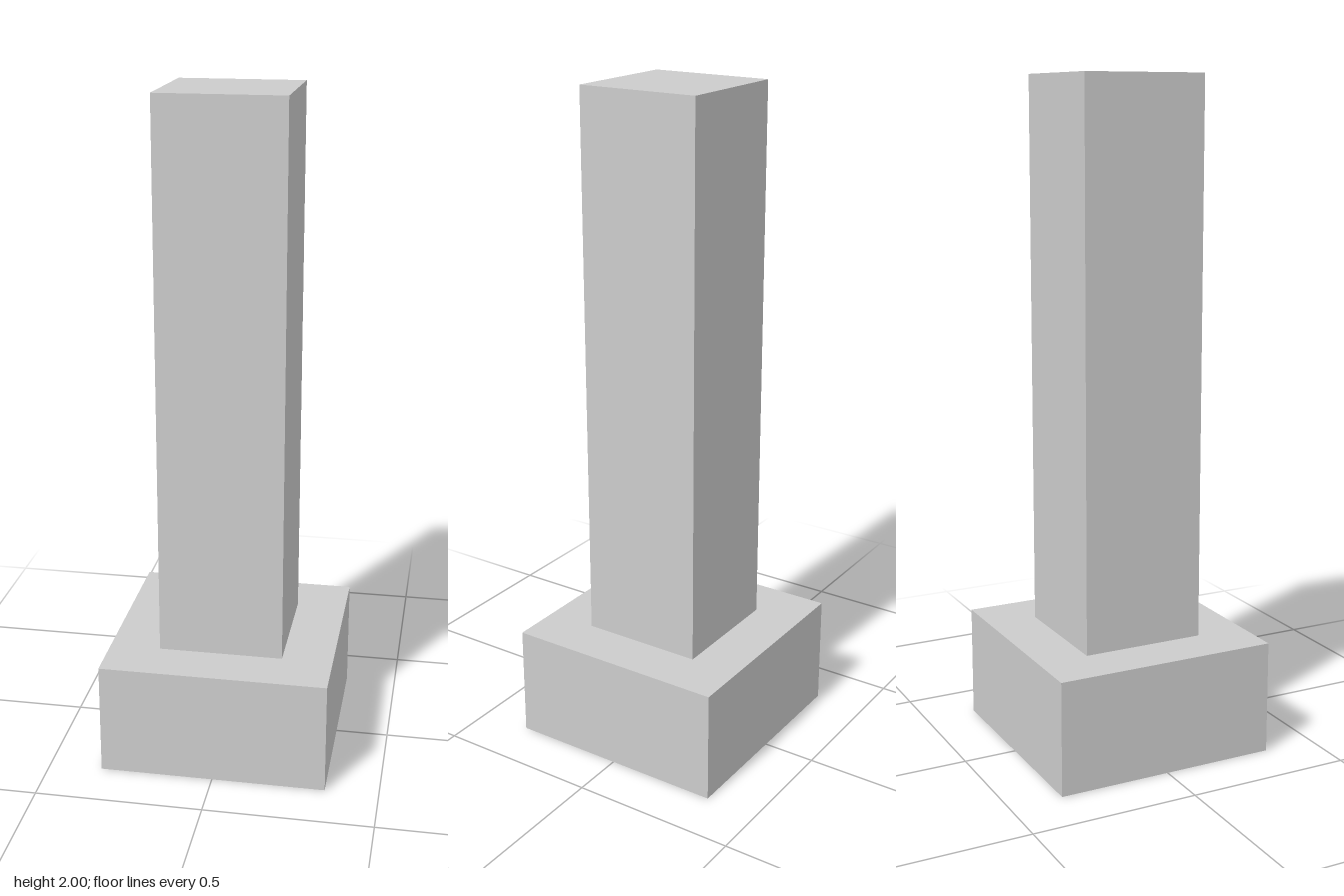
import * as THREE from 'three';

// Thin open shell with a square plan: profile points are [half width, height]
function squareShell(name, profile, material) {
  const points = profile.map(([half, y]) => new THREE.Vector2(half * Math.SQRT2, y));
  const mesh = new THREE.Mesh(new THREE.LatheGeometry(points, 4, Math.PI / 4), material);
  mesh.name = name;
  return mesh;
}

export function createModel() {
  const material = new THREE.MeshStandardMaterial({
    color: 0xcccccc, flatShading: true, side: THREE.DoubleSide,
  });
  const baseHalf = 0.34, shaftHalf = 0.187, baseHeight = 0.342, height = 2;

  const group = new THREE.Group();
  group.name = 'squarePillar';
  group.add(
    // Hollow plinth, open underneath, with a ledge around the shaft opening
    squareShell('base', [[baseHalf, 0], [baseHalf, baseHeight], [shaftHalf, baseHeight]], material),
    // Hollow shaft, open into the plinth and closed at the top
    squareShell('shaft', [[shaftHalf, baseHeight], [shaftHalf, height], [0, height]], material),
  );
  return group;
}
